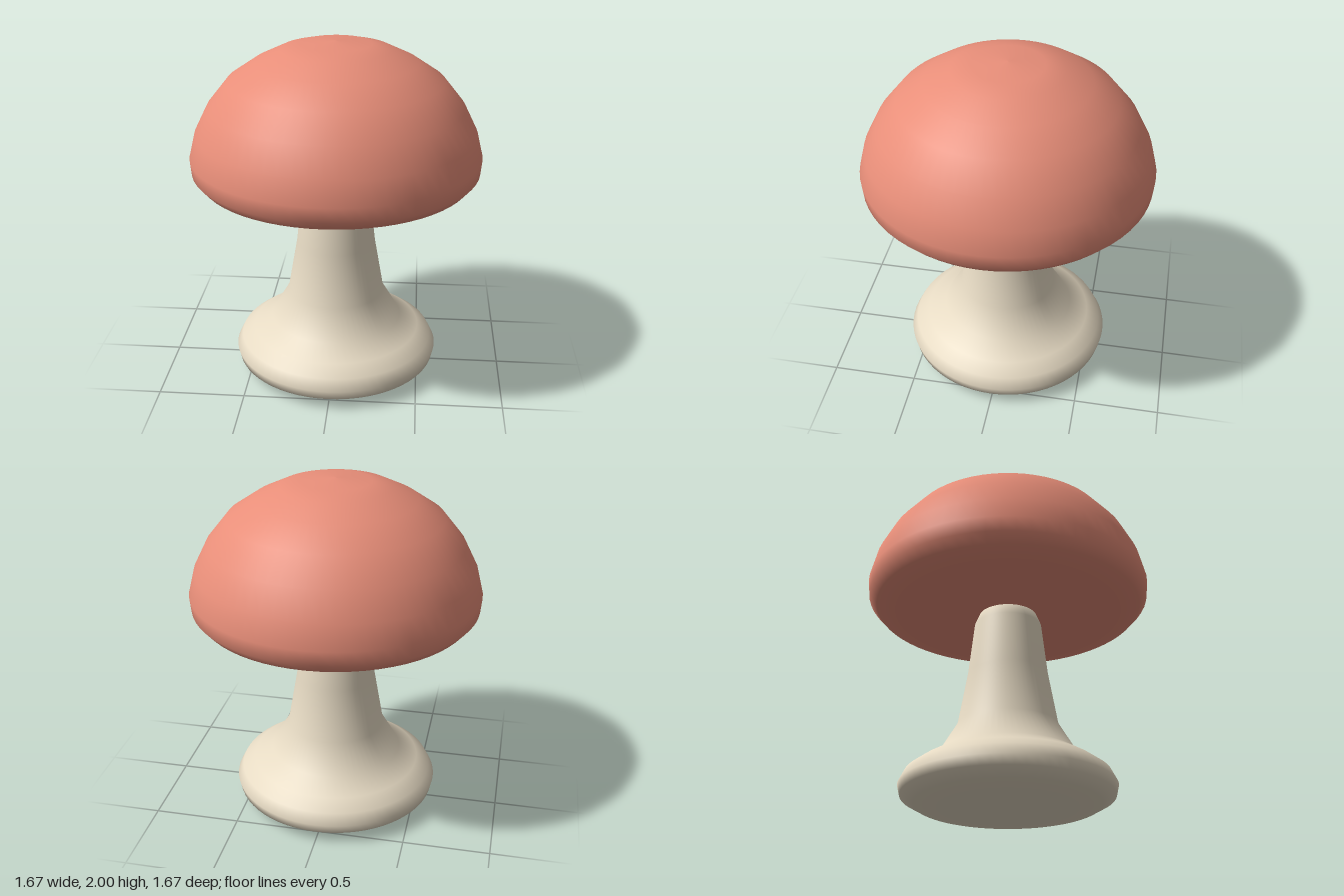
import * as THREE from 'three';

// Revolve a bottom-to-top profile of [radius, height] pairs around y.
function turned(name, profile, color) {
  const points = profile.map(([r, y]) => new THREE.Vector2(r, y));
  const mesh = new THREE.Mesh(
    new THREE.LatheGeometry(points, 64),
    new THREE.MeshStandardMaterial({ color })
  );
  mesh.name = name;
  return mesh;
}

export function createModel() {
  const group = new THREE.Group();
  group.name = 'mushroom';

  // Stem: bulbous foot tapering into a slim neck that ends inside the cap
  group.add(turned('stem', [
    [0, 0], [0.36, 0.007], [0.52, 0.027], [0.595, 0.07], [0.608, 0.125],
    [0.575, 0.19], [0.5, 0.245], [0.39, 0.31], [0.287, 0.485],
    [0.232, 0.8], [0.197, 1.11], [0.165, 1.19], [0.1, 1.23], [0, 1.24],
  ], 0xe6dac3));

  // Cap: nearly flat underside, rolled rim and dome
  group.add(turned('cap', [
    [0, 1.175], [0.4, 1.178], [0.66, 1.19], [0.78, 1.217], [0.826, 1.27],
    [0.834, 1.355], [0.8, 1.49], [0.725, 1.64], [0.608, 1.785],
    [0.46, 1.885], [0.31, 1.957], [0.2, 1.986], [0, 2],
  ], 0xe88e79));

  return group;
}
